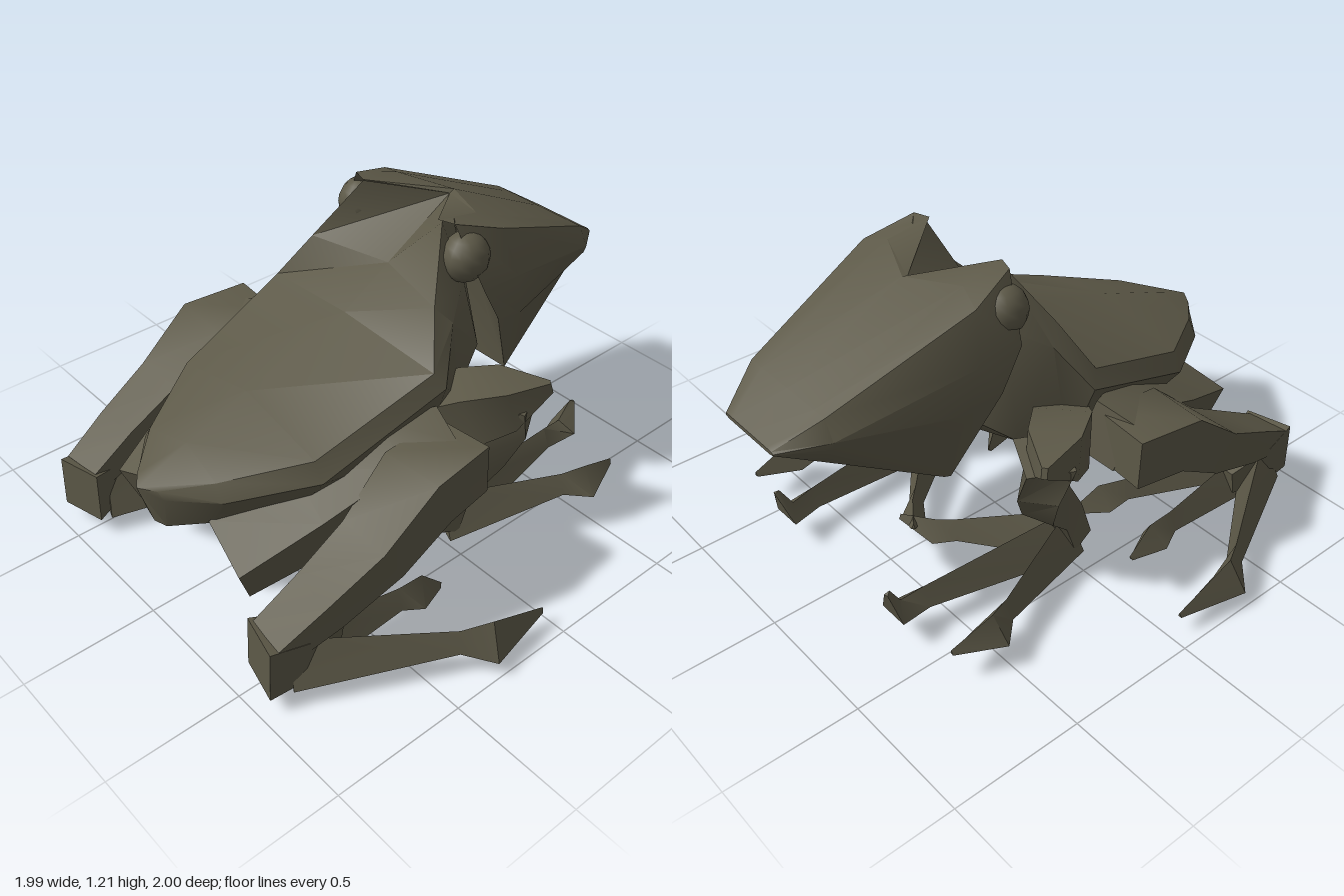
import * as THREE from 'three';
import { toCreasedNormals } from 'three/addons/utils/BufferGeometryUtils.js';

const skin = new THREE.MeshStandardMaterial({ color: 0x5c5847, side: THREE.DoubleSide });

// Closed surface through rings of equal point count, capped at both ends
function loft(name, rings) {
  const n = rings[0].length, last = (rings.length - 1) * n, index = [];
  for (let i = 0; i < rings.length - 1; i++) {
    for (let j = 0; j < n; j++) {
      const a = i * n + j, b = i * n + (j + 1) % n;
      index.push(a, b, b + n, a, b + n, a + n);
    }
  }
  for (let j = 1; j < n - 1; j++) {
    index.push(0, j + 1, j, last, last + j, last + j + 1);
  }
  const geometry = new THREE.BufferGeometry();
  geometry.setAttribute('position', new THREE.Float32BufferAttribute(rings.flat(2), 3));
  geometry.setIndex(index);
  const mesh = new THREE.Mesh(toCreasedNormals(geometry, 0.7), skin);
  mesh.name = name;
  return mesh;
}

// Half section, top centre to bottom centre, completed by mirroring
const mirrorRing = half => [...half, ...half.slice(1, -1).reverse().map(([x, y, z]) => [-x, y, z])];

const square = [[1, 1], [1, -1], [-1, -1], [-1, 1]];
const ridge = [[0, 1], [1, -1], [-1, -1]];

// Limb swept along stations of [x, y, z, width, height]; roll turns the section outward
function limb(name, stations, side, section = square, roll = 0) {
  const pts = stations.map(([x, y, z]) => new THREE.Vector3(x * side, y, z));
  const up = new THREE.Vector3(0, 1, 0);
  const rings = stations.map(([, , , w, h], i) => {
    const t = pts[Math.min(i + 1, pts.length - 1)].clone().sub(pts[Math.max(i - 1, 0)]).normalize();
    const r = t.clone().cross(up).normalize().applyAxisAngle(t, roll * side);
    const u = r.clone().cross(t);
    return section.map(([a, b]) =>
      pts[i].clone().addScaledVector(r, a * w / 2).addScaledVector(u, b * h / 2).toArray());
  });
  return loft(name, rings);
}

// Slender ridged toe widening into a pointed pad
function toe(name, from, pad, tip, side, padWidth = 0.13, padHeight = 0.13) {
  const mid = from.map((v, i) => v + (pad[i] - v) * 0.84);
  return limb(name, [
    [...from, 0.15, 0.16], [...mid, 0.055, 0.08], [...pad, padWidth, padHeight], [...tip, 0.015, 0.02],
  ], side, ridge);
}

export function createModel() {
  const model = new THREE.Group();
  model.name = 'frog';

  // Trunk, rump to neck
  model.add(loft('body', [
    [[0, .56, 1], [.06, .56, .96], [.08, .53, .95], [.06, .4, .94], [0, .39, .95]],
    [[0, .64, .8], [.19, .6, .82], [.23, .54, .82], [.13, .38, .8], [0, .38, .78]],
    [[0, .73, .55], [.36, .65, .55], [.4, .58, .55], [.24, .36, .55], [0, .35, .55]],
    [[0, .86, .12], [.42, .81, .09], [.45, .75, .06], [.34, .44, .05], [0, .39, .05]],
    [[0, .98, -.08], [.32, .98, 0], [.36, .92, -.05], [.3, .55, -.15], [0, .45, -.15]],
    [[0, 1.15, -.37], [.2, 1.2, -.14], [.27, 1, -.18], [.25, .67, -.29], [0, .62, -.32]],
  ].map(mirrorRing)));

  // Wedge-shaped head with raised brows
  model.add(loft('head', [
    [[0, 1.15, -.37], [.19, 1.21, -.13], [.25, 1.21, -.15], [.36, .99, -.19], [.36, .84, -.27], [.27, .52, -.42], [0, .52, -.42]],
    [[0, 1.16, -.39], [.2, 1.18, -.3], [.3, 1.15, -.33], [.36, .98, -.36], [.34, .8, -.4], [.26, .52, -.44], [0, .51, -.44]],
    [[0, .93, -.85], [.15, .93, -.85], [.21, .93, -.85], [.25, .86, -.85], [.24, .83, -.85], [.17, .74, -.85], [0, .74, -.85]],
    [[0, .83, -1], [.1, .83, -1], [.13, .83, -1], [.14, .825, -1], [.14, .82, -1], [.12, .815, -1], [0, .815, -1]],
  ].map(mirrorRing)));

  for (const side of [1, -1]) {
    const label = side > 0 ? 'left' : 'right';

    const eye = new THREE.Mesh(new THREE.SphereGeometry(.09, 14, 10), skin);
    eye.name = label + 'Eye';
    eye.scale.x = .9;
    eye.position.set(.265 * side, 1.08, -.19);
    model.add(eye);

    // Folded hind leg
    const hind = new THREE.Group();
    hind.name = label + 'HindLeg';
    hind.add(
      limb('thigh', [
        [.23, .3, .82, .24, .15], [.32, .4, .52, .23, .2], [.43, .53, .25, .2, .24], [.49, .57, .08, .16, .2],
      ], side, square, .28),
      limb('shin', [
        [.56, .55, .08, .22, .19], [.58, .545, .3, .24, .2], [.585, .4, .5, .21, .16],
        [.575, .3, .72, .18, .13], [.555, .22, .9, .16, .09],
      ], side),
      limb('heel', [
        [.54, .165, .94, .18, .2], [.57, .16, .82, .16, .16], [.57, .13, .66, .09, .1],
      ], side),
      toe('outerToe', [.59, .15, .85], [.93, .125, .29], [.93, .08, .04], side),
      toe('middleToe', [.56, .14, .85], [.57, .07, .28], [.57, .01, .17], side, .12, .1),
      toe('innerToe', [.51, .14, .85], [.3, .08, .28], [.25, .02, .18], side, .11, .1),
    );
    model.add(hind);

    // Bent front leg
    const front = new THREE.Group();
    front.name = label + 'FrontLeg';
    const wrist = [.4, .14, 0];
    front.add(
      limb('upperArm', [
        [.3, .52, .04, .18, .2], [.43, .6, -.07, .2, .2], [.51, .63, -.18, .18, .16], [.6, .67, -.3, .02, .04],
      ], side),
      limb('forearm', [
        [.49, .63, -.2, .17, .18], [.47, .5, -.19, .14, .18], [.44, .37, -.14, .12, .15], [.41, .24, -.03, .1, .11], [.4, .1, .02, .12, .1],
      ], side),
      toe('outerToe', wrist, [.61, .15, -.52], [.6, .13, -.69], side, .14, .1),
      toe('middleToe', wrist, [.33, .14, -.71], [.34, .24, -.75], side, .12, .06),
      toe('innerToe', wrist, [.07, .11, -.34], [-.04, .14, -.42], side, .09, .08),
    );
    model.add(front);
  }
  return model;
}
